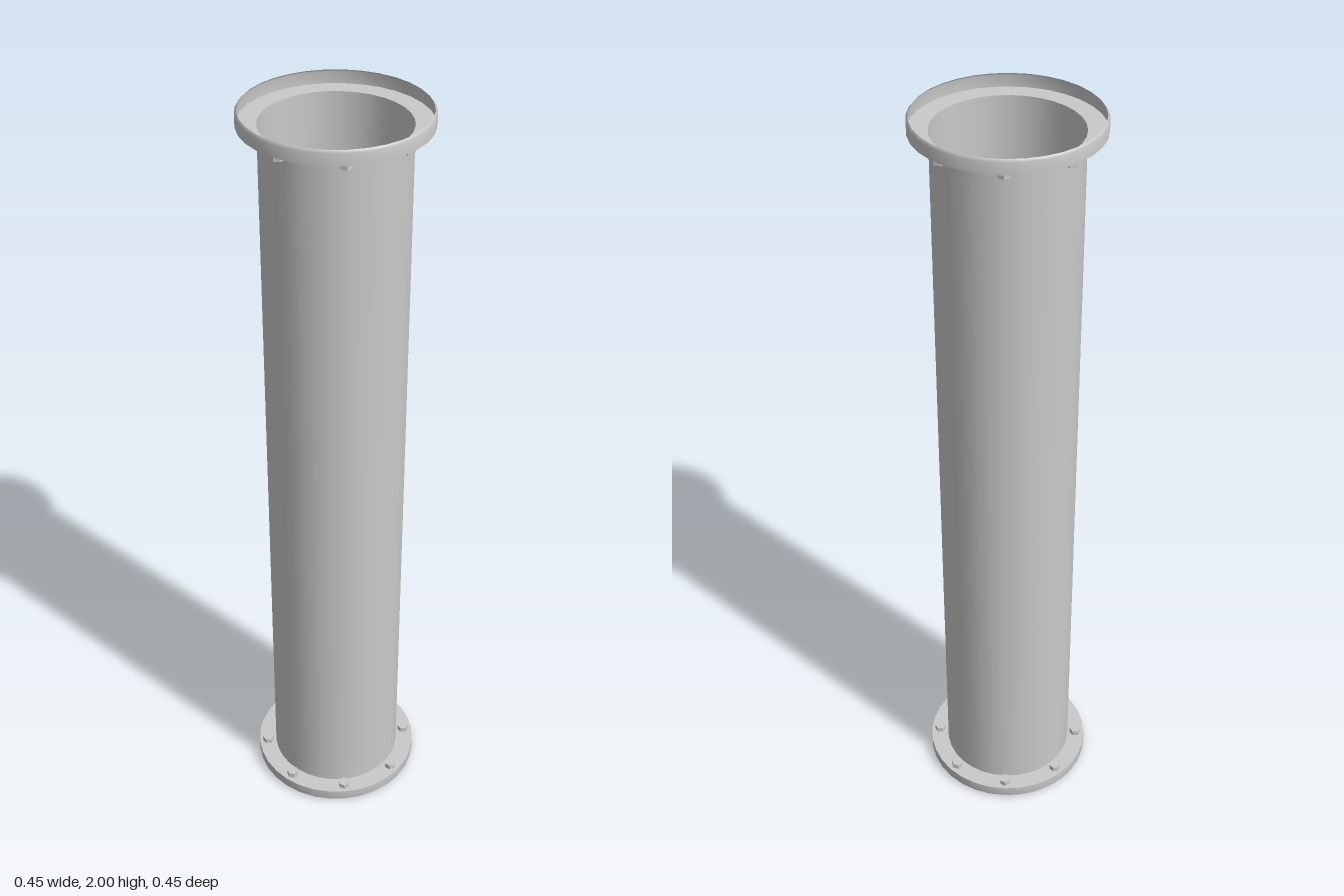
import * as THREE from 'three';

const SIDES = 32;
const HEIGHT = 2;
const PIPE_R = 0.177;
const FLANGE_R = 0.225;
const FLANGE_H = 0.035;

export function createModel() {
  const model = new THREE.Group();
  model.name = 'flangedPipe';
  const steel = new THREE.MeshStandardMaterial({ color: 0xcacaca, side: THREE.DoubleSide });
  steel.name = 'greySteel';

  function add(parent, name, geometry) {
    const mesh = new THREE.Mesh(geometry, steel);
    mesh.name = name;
    parent.add(mesh);
    return mesh;
  }

  // Open tube between the two flange plates
  const tube = new THREE.CylinderGeometry(PIPE_R, PIPE_R, HEIGHT - 2 * FLANGE_H, SIDES, 1, true);
  add(model, 'pipe', tube).position.y = HEIGHT / 2;

  const rimProfile = [[0.22, 0], [FLANGE_R, 0.006], [FLANGE_R, FLANGE_H]]
    .map(([r, y]) => new THREE.Vector2(r, y));
  const rimGeometry = new THREE.LatheGeometry(rimProfile, SIDES);
  const plateGeometry = new THREE.RingGeometry(PIPE_R, FLANGE_R, SIDES).rotateX(-Math.PI / 2);
  const boltGeometry = new THREE.CylinderGeometry(0.016, 0.016, 0.015, 6).toNonIndexed();
  boltGeometry.computeVertexNormals();

  // Flange: thin rim, hollow towards the pipe's end, with a ring of bolt heads
  function makeFlange(name) {
    const flange = new THREE.Group();
    flange.name = name;
    add(flange, 'flangeRim', rimGeometry);
    add(flange, 'flangePlate', plateGeometry).position.y = FLANGE_H;
    for (let i = 0; i < 8; i++) {
      const a = (i * Math.PI) / 4;
      const bolt = add(flange, 'boltHead', boltGeometry);
      bolt.position.set(0.2 * Math.sin(a), FLANGE_H + 0.0075, 0.2 * Math.cos(a));
      bolt.rotation.y = a;
    }
    model.add(flange);
    return flange;
  }

  makeFlange('bottomFlange');
  const top = makeFlange('topFlange');
  top.rotation.x = Math.PI;
  top.position.y = HEIGHT;

  return model;
}
